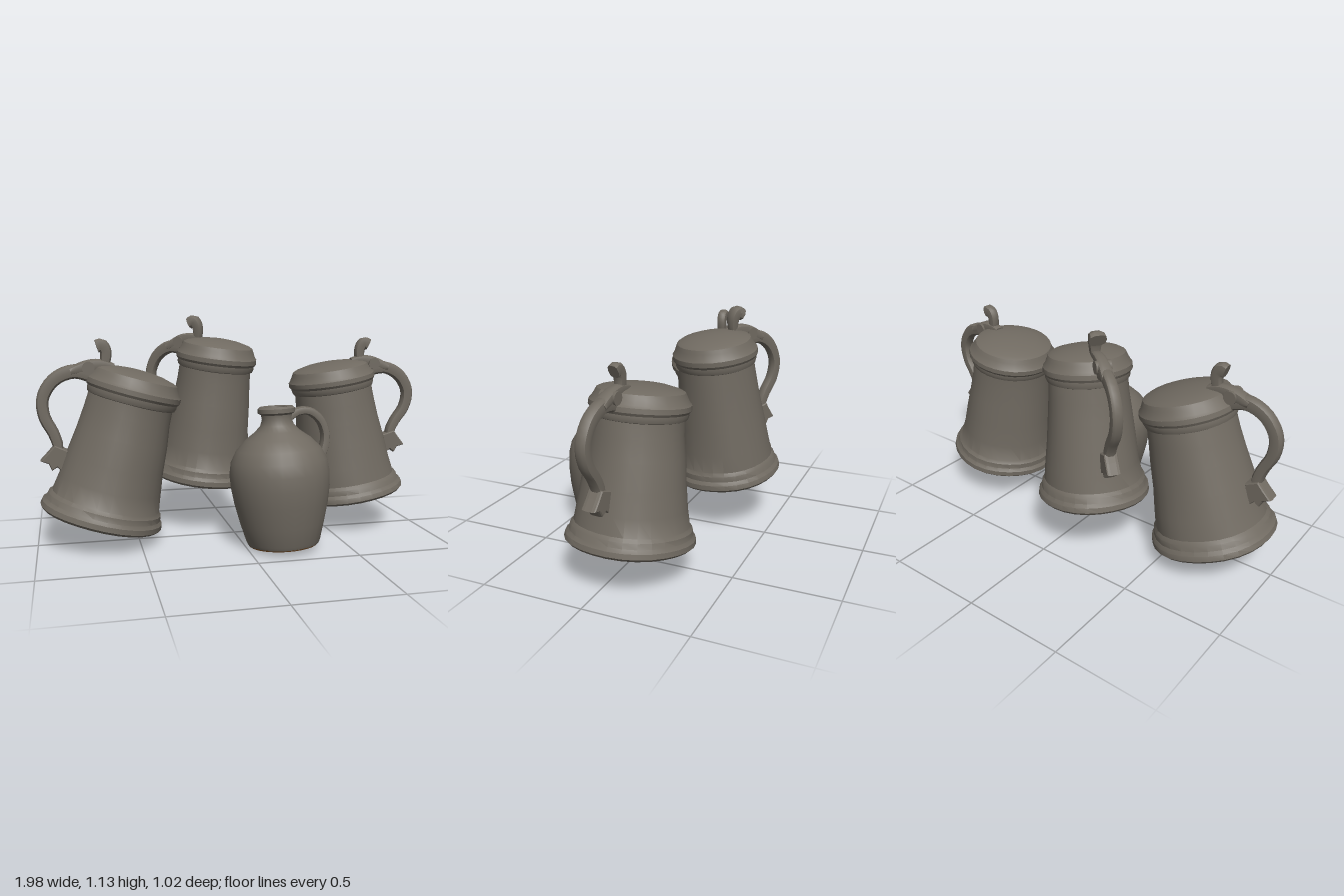
import * as THREE from 'three';
import { toCreasedNormals } from 'three/addons/utils/BufferGeometryUtils.js';

const pewter = new THREE.MeshStandardMaterial({ color: 0x706a61 });
pewter.name = 'grey brown';
const clay = new THREE.MeshStandardMaterial({ color: 0x8a5a2c });
clay.name = 'bare clay';

function part(name, geometry, material = pewter) {
  const mesh = new THREE.Mesh(geometry, material);
  mesh.name = name;
  return mesh;
}

// Turned form from [radius, height] pairs, bottom to top; optional worn dents
function turned(profile, sides = 28, dent = 0) {
  const g = new THREE.LatheGeometry(profile.map(([r, y]) => new THREE.Vector2(r, y)), sides);
  const p = g.attributes.position;
  for (let i = 0; i < p.count; i++) {
    const x = p.getX(i), y = p.getY(i), z = p.getZ(i);
    const a = Math.atan2(z, x);
    const k = 1 + dent * Math.sin(3 * a + 9 * y) * Math.sin(2 * a - 14 * y);
    p.setXYZ(i, x * k, y, z * k);
  }
  return toCreasedNormals(g, 0.6);
}

// Strap swept along a curve in the xy plane; size(t) gives [half thickness, half width]
function strap(points, size, steps = 24, sides = 10) {
  const curve = new THREE.CatmullRomCurve3(points.map(([x, y]) => new THREE.Vector3(x, y, 0)));
  const pos = [], idx = [];
  for (let i = 0; i <= steps; i++) {
    const t = i / steps, c = curve.getPointAt(t), d = curve.getTangentAt(t);
    const [h, w] = size(t);
    for (let j = 0; j < sides; j++) {
      const a = (j + 0.5) / sides * Math.PI * 2;
      const u = Math.sign(Math.cos(a)) * Math.abs(Math.cos(a)) ** 0.7 * h;
      const v = Math.sign(Math.sin(a)) * Math.abs(Math.sin(a)) ** 0.7 * w;
      pos.push(c.x - d.y * u, c.y + d.x * u, v);
      if (i < steps) {
        const n = (j + 1) % sides, o = i * sides;
        idx.push(o + j, o + n, o + sides + j, o + n, o + sides + n, o + sides + j);
      }
    }
  }
  const e = steps * sides;
  for (let j = 1; j < sides - 1; j++) idx.push(0, j + 1, j, e, e + j, e + j + 1);
  const g = new THREE.BufferGeometry();
  g.setAttribute('position', new THREE.Float32BufferAttribute(pos, 3));
  g.setIndex(idx);
  return toCreasedNormals(g, 0.7);
}

// Lidded tankard: handle on local +x, leaning away from the handle
function tankard(name, [x, y, z], yaw, lean, radial, tall, leverX, leverWidth) {
  const g = new THREE.Group();
  g.name = name;

  g.add(part('body', turned([
    [0, 0], [0.285, 0], [0.297, 0.012], [0.294, 0.035], [0.28, 0.05], [0.276, 0.075],
    [0.262, 0.09], [0.249, 0.17], [0.235, 0.28], [0.221, 0.4], [0.209, 0.5], [0.204, 0.58], [0, 0.58],
  ], 28, 0.015)));

  g.add(part('rim', turned([
    [0.2, 0.565], [0.213, 0.57], [0.219, 0.585], [0.219, 0.6], [0.2, 0.605],
  ])));

  g.add(part('lid', turned([
    [0, 0.6], [0.222, 0.6], [0.23, 0.612], [0.229, 0.634], [0.219, 0.645], [0.207, 0.668],
    [0.198, 0.686], [0.18, 0.695], [0.12, 0.71], [0.06, 0.717], [0, 0.72],
  ], 28, 0.006)));

  // S-shaped handle, thick at the shoulder and slim lower down
  g.add(part('handle', strap([
    [0.16, 0.628], [0.23, 0.642], [0.3, 0.636], [0.372, 0.58], [0.402, 0.49],
    [0.374, 0.405], [0.315, 0.34], [0.278, 0.28], [0.276, 0.22],
  ], t => [0.036 - 0.012 * t, 0.03])));

  // Leafy scroll where the handle meets the body
  const leaf = new THREE.Shape([
    [0.235, 0.275], [0.295, 0.285], [0.312, 0.25], [0.336, 0.208],
    [0.3, 0.205], [0.28, 0.18], [0.262, 0.2], [0.238, 0.185],
  ].map(([a, b]) => new THREE.Vector2(a, b)));
  const leafGeo = new THREE.ExtrudeGeometry(leaf, {
    depth: 0.036, bevelThickness: 0.018, bevelSize: 0.006, bevelSegments: 2,
  });
  leafGeo.translate(0, 0, -0.018);
  g.add(part('handleScroll', leafGeo));

  // Hinge strap and knuckle on the lid
  g.add(part('hinge', strap([
    [0.12, 0.7], [0.16, 0.7], [0.21, 0.688], [0.26, 0.665], [0.31, 0.635],
  ], t => [0.018 + 0.012 * Math.sin(t * Math.PI), 0.026 + 0.01 * t], 10)));
  const knuckle = new THREE.CylinderGeometry(0.03, 0.03, 0.08, 12);
  knuckle.rotateX(Math.PI / 2);
  knuckle.translate(0.235, 0.67, 0);
  g.add(part('hingeKnuckle', knuckle));

  // Curled thumb lever, its tip rolled into a knob
  g.add(part('thumbLever', strap([
    [0, 0.69], [0.001, 0.73], [0.013, 0.769], [0.037, 0.787], [0.056, 0.774],
  ].map(([a, b]) => [a + leverX, b]), t => [0.023 + 0.008 * t, 0.022 + (leverWidth - 0.022) * t], 14)));

  g.position.set(x, y, z);
  g.rotation.set(0, yaw, lean, 'YXZ');
  g.scale.set(radial, tall, radial);
  return g;
}

function jug() {
  const g = new THREE.Group();
  g.name = 'jug';
  g.add(part('body', turned([
    [0.174, 0.006], [0.182, 0.022], [0.206, 0.11], [0.23, 0.21], [0.243, 0.29], [0.246, 0.36],
    [0.236, 0.42], [0.208, 0.475], [0.16, 0.525], [0.112, 0.56], [0.083, 0.59], [0.073, 0.62],
    [0.076, 0.642], [0.091, 0.652], [0.091, 0.672], [0.08, 0.682], [0.055, 0.68], [0.045, 0.62], [0, 0.6],
  ], 28, 0.005)));
  // Unglazed foot with a glazed middle
  g.add(part('footRing', turned([[0.105, 0], [0.168, 0], [0.175, 0.008]]), clay));
  g.add(part('footCentre', turned([[0, 0.001], [0.106, 0]])));
  g.add(part('handle', strap([
    [0.06, 0.625], [0.11, 0.65], [0.17, 0.645], [0.224, 0.595], [0.244, 0.52], [0.228, 0.45], [0.208, 0.41],
  ], t => [0.021, 0.03 + 0.004 * t])));
  g.position.set(0.184, 0.025, 0.284);
  g.rotation.set(-0.075, 0, 0.042);
  return g;
}

export function createModel() {
  const model = new THREE.Group();
  model.name = 'drinkingVessels';
  model.add(
    tankard('rightTankard', [-0.688, 0.133, -0.013], Math.PI + 0.01, 0.272, 1.04, 1.07, 0.165, 0.026),
    tankard('middleTankard', [-0.125, 0.275, -0.243], 2.56, 0.135, 0.93, 1.045, 0.13, 0.046),
    tankard('leftTankard', [0.65, 0.187, -0.06], -0.12, 0.16, 1, 1, 0.168, 0.026),
    jug(),
  );
  return model;
}
